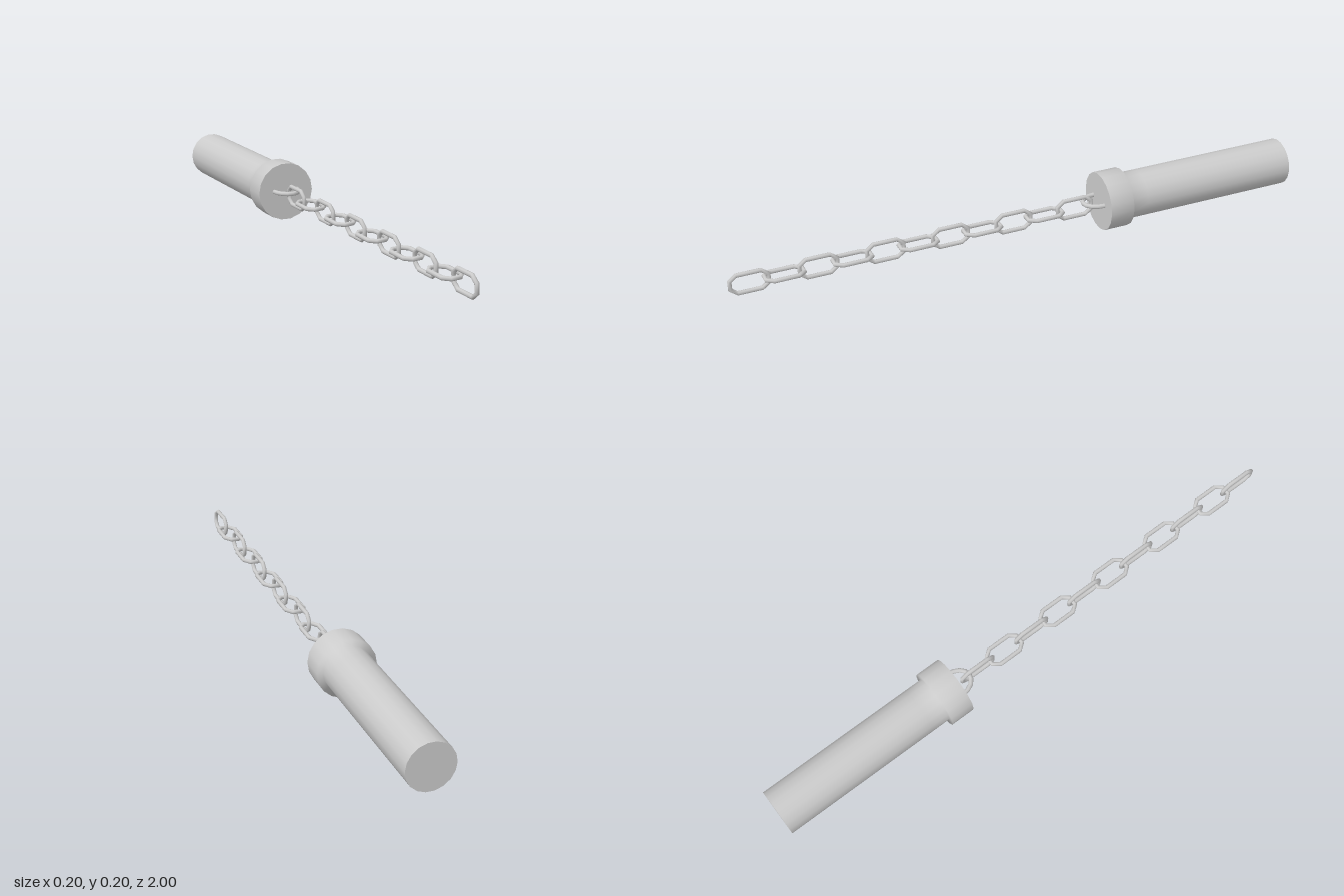
import * as THREE from 'three';

const material = new THREE.MeshStandardMaterial({ color: 0xcccccc, roughness: 0.7 });

// Straight-sided path that passes exactly through its corner points
class CornerPath extends THREE.Curve {
  constructor(points, closed) {
    super();
    this.points = points;
    this.closed = closed;
    this.count = closed ? points.length : points.length - 1;
  }
  corner(i) {
    const n = this.points.length;
    return this.points[this.closed ? (i + n) % n : Math.min(Math.max(i, 0), n - 1)];
  }
  getPoint(u, target = new THREE.Vector3()) {
    return target.copy(this.corner(Math.round(u * this.count)));
  }
  getPointAt(u, target) {
    return this.getPoint(u, target);
  }
  getTangentAt(u, target = new THREE.Vector3()) {
    const i = Math.round(u * this.count);
    return target.subVectors(this.corner(i + 1), this.corner(i - 1)).normalize();
  }
}

function wire(points, radius, closed) {
  const path = new CornerPath(points, closed);
  return new THREE.TubeGeometry(path, path.count, radius, 8, closed);
}

function addMesh(parent, name, geometry) {
  const mesh = new THREE.Mesh(geometry, material);
  mesh.name = name;
  parent.add(mesh);
  return mesh;
}

export function createModel() {
  const model = new THREE.Group();
  model.name = 'handleWithChain';

  // Handle: shaft and wider collar, shaded smoothly across the step
  const sides = 18, shaftR = 0.081, collarR = 0.1015;
  const back = -1, step = -0.375, front = -0.29;
  const handle = new THREE.Group();
  handle.name = 'handle';
  handle.position.y = 0.1;
  model.add(handle);

  const profile = [
    [shaftR, back], [shaftR, -0.44], [shaftR, step], [collarR, step], [collarR, front],
  ].map(([r, z]) => new THREE.Vector2(r, z));
  const body = new THREE.LatheGeometry(profile, sides, Math.PI / 2);
  body.rotateX(Math.PI / 2);
  addMesh(handle, 'handleBody', body);

  // Flat end faces
  addMesh(handle, 'collarFace', new THREE.CircleGeometry(collarR, sides)).position.z = front;
  const backCap = addMesh(handle, 'shaftEnd', new THREE.CircleGeometry(shaftR, sides));
  backCap.position.z = back;
  backCap.rotation.y = Math.PI;

  // Half loop fixed to the collar face
  const loopPoints = [[0.042, front - 0.02]];
  for (let i = 0; i <= 8; i++) {
    const a = (i / 8) * Math.PI;
    loopPoints.push([0.043 * Math.cos(a), front + 0.058 * Math.sin(a)]);
  }
  loopPoints.push([-0.042, front - 0.02]);
  const loop = wire(loopPoints.map(([x, z]) => new THREE.Vector3(x, 0, z)), 0.008, false);
  const anchor = addMesh(model, 'anchorLoop', loop);
  anchor.position.y = 0.104;
  anchor.rotation.z = 0.03;

  // Chain of eight-cornered links, alternately upright and flat
  const quarter = [[0.032, 0.04], [0.015, 0.0625]];
  const corners = [
    ...quarter,
    ...quarter.map(([x, z]) => [-x, z]).reverse(),
    ...quarter.map(([x, z]) => [-x, -z]),
    ...quarter.map(([x, z]) => [x, -z]).reverse(),
  ];
  const link = wire(corners.map(([x, z]) => new THREE.Vector3(x, 0, z)), 0.0075, true);
  const chain = new THREE.Group();
  chain.name = 'chain';
  model.add(chain);
  for (let i = 0; i < 11; i++) {
    const mesh = addMesh(chain, 'chainLink' + (i + 1), link);
    mesh.position.set(0, 0.096, 0.93 - i * 0.1128);
    mesh.rotation.z = 0.06 + (i % 2 === 0 ? Math.PI / 2 : 0);
  }

  return model;
}
